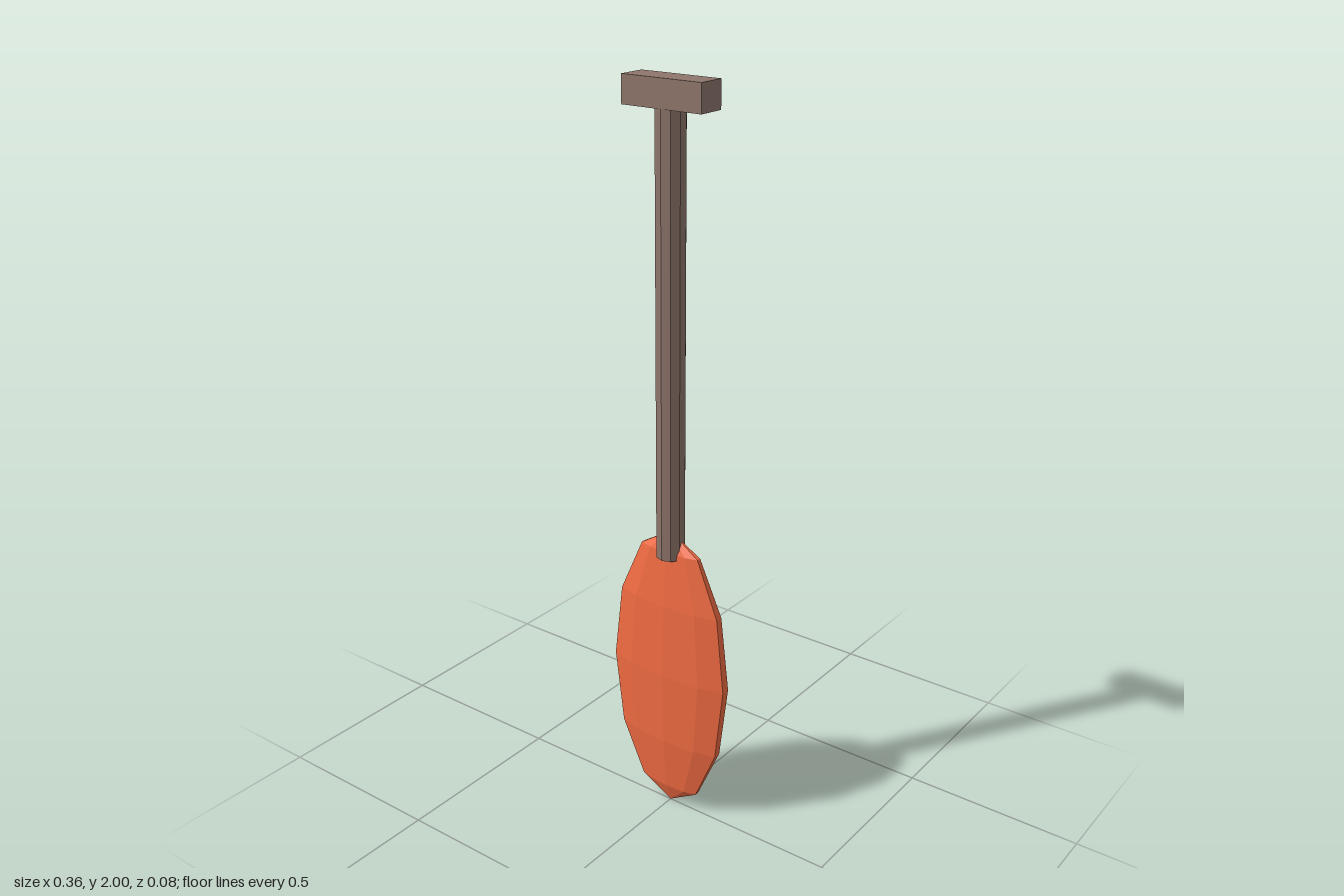
import * as THREE from 'three';

const SIDES = 10;

export function createModel() {
  const model = new THREE.Group();
  model.name = 'paddle';

  const wood = new THREE.MeshStandardMaterial({ color: 0x8f766c, flatShading: true });
  const orange = new THREE.MeshStandardMaterial({ color: 0xf26c43, flatShading: true });

  const add = (name, geometry, material, y) => {
    const mesh = new THREE.Mesh(geometry, material);
    mesh.name = name;
    mesh.position.y = y;
    model.add(mesh);
  };

  // Blade: faceted ellipsoid, turned half a facet so a narrow face closes each side edge
  const blade = new THREE.SphereGeometry(1, SIDES, 6);
  blade.rotateY(Math.PI / SIDES).scale(0.191, 0.422, 0.039);
  add('blade', blade, orange, 0.425);

  // Shaft: ten-sided rod sunk into the top of the blade
  add('shaft', new THREE.CylinderGeometry(0.039, 0.039, 1.155, SIDES), wood, 1.3525);

  // Grip: crossbar on top of the shaft
  add('grip', new THREE.BoxGeometry(0.23, 0.07, 0.077), wood, 1.965);

  return model;
}
